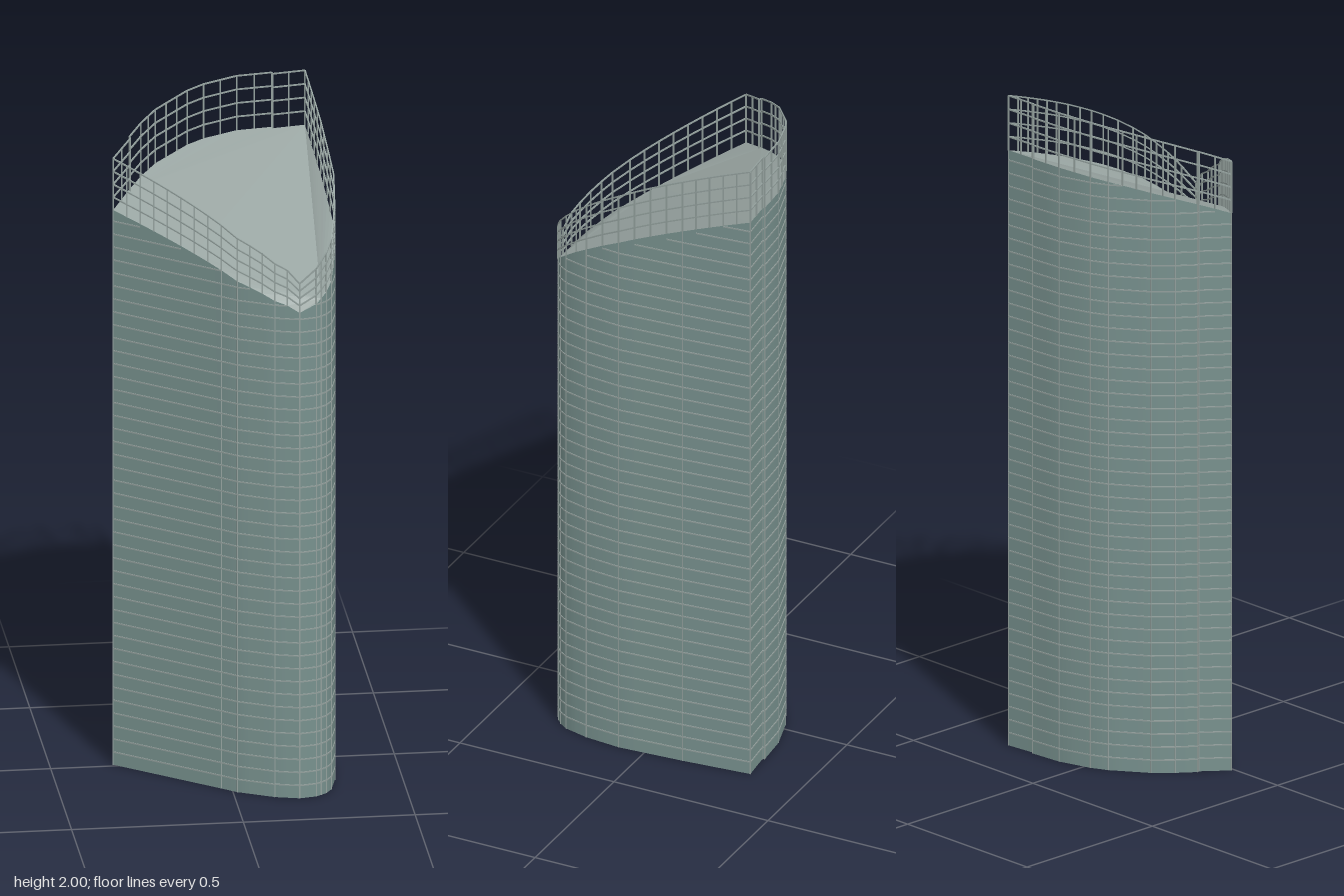
import * as THREE from 'three';
import { mergeGeometries, toCreasedNormals } from 'three/addons/utils/BufferGeometryUtils.js';

// Floor plan corners [x, z], clockwise seen from above
const PLAN = [
  [-0.317, -0.01], [-0.258, -0.083], [-0.26, -0.09], [-0.22, -0.142], [-0.172, -0.193],
  [-0.07, -0.266], [-0.02, -0.29], [0.08, -0.319], [0.183, -0.327], [0.185, -0.321],
  [0.28, -0.33], [0.3, -0.12], [0.314, 0.08], [0.304, 0.19], [0.285, 0.265],
  [0.267, 0.293], [0.25, 0.307], [0.235, 0.317], [0.185, 0.327], [0.115, 0.308],
  [0.012, 0.255], [-0.03, 0.22],
];
const STEP = 0.045;

// Sloping heights of the roof edge and of the crown above it
const depth = (z) => Math.max(0, (0.327 - z) / 0.657);
const roofY = (z) => 1.5 + 0.33 * Math.pow(depth(z), 0.65);
const crownY = (z) => 1.59 + 0.408 * Math.pow(depth(z), 0.55);

// Plan with long edges split so the sloping top follows its curve
function splitPlan() {
  const ring = [];
  PLAN.forEach(([x, z], i) => {
    const [x2, z2] = PLAN[(i + 1) % PLAN.length];
    const n = Math.max(1, Math.round(Math.hypot(x2 - x, z2 - z) / STEP));
    for (let k = 0; k < n; k++) ring.push([x + (x2 - x) * k / n, z + (z2 - z) * k / n]);
  });
  return ring;
}

function fromTriangles(points) {
  const geometry = new THREE.BufferGeometry();
  geometry.setAttribute('position', new THREE.Float32BufferAttribute(points.flat(), 3));
  geometry.computeVertexNormals();
  return geometry;
}

// Thin square bar between two points
function bar(a, b, size) {
  const from = new THREE.Vector3(...a), to = new THREE.Vector3(...b);
  const dir = to.clone().sub(from);
  const up = Math.abs(dir.y) > 0.9 * dir.length() ? new THREE.Vector3(1, 0, 0) : new THREE.Vector3(0, 1, 0);
  const geometry = new THREE.BoxGeometry(size, size, dir.length());
  const matrix = new THREE.Matrix4().lookAt(to, from, up);
  matrix.setPosition(from.add(to).multiplyScalar(0.5));
  return geometry.applyMatrix4(matrix);
}

export function createModel() {
  const group = new THREE.Group();
  const glass = new THREE.MeshStandardMaterial({ name: 'grey green glass', color: 0x78918e });
  const roofGrey = new THREE.MeshStandardMaterial({ name: 'roof grey', color: 0x98a4a1 });
  const metal = new THREE.MeshStandardMaterial({ name: 'pale metal', color: 0x93a09d });
  const add = (name, geometry, material) => {
    const mesh = new THREE.Mesh(geometry, material);
    mesh.name = name;
    group.add(mesh);
  };

  const ring = splitPlan();
  const count = ring.length;
  const next = (i) => (i + 1) % count;
  const top = (i) => [ring[i][0], roofY(ring[i][1]), ring[i][1]];
  const base = (i) => [ring[i][0], 0, ring[i][1]];

  // Outer walls and underside
  const walls = [], floor = [];
  for (let i = 0; i < count; i++) {
    const j = next(i);
    walls.push(base(i), top(i), top(j), base(i), top(j), base(j));
    floor.push([0.05, 0, 0], base(i), base(j));
  }
  add('towerWalls', toCreasedNormals(fromTriangles(walls), 0.4), glass);
  add('towerBase', fromTriangles(floor), glass);

  // Faceted roof: one fan per side around two large central triangles
  const nearest = (x, z) => {
    let best = 0;
    ring.forEach((p, i) => {
      if (Math.hypot(p[0] - x, p[1] - z) < Math.hypot(ring[best][0] - x, ring[best][1] - z)) best = i;
    });
    return best;
  };
  const backCorner = nearest(0.28, -0.33), frontCorner = nearest(0.25, 0.307);
  const sideMiddle = nearest(-0.11, 0.155), leftNotch = nearest(-0.26, -0.09);
  const roof = [];
  const facet = (a, b, c) => roof.push(top(a), top(c), top(b));
  const fan = (pivot, start, end) => {
    for (let i = start; i !== end; i = next(i)) {
      if (i !== pivot && next(i) !== pivot) facet(pivot, i, next(i));
    }
  };
  fan(leftNotch, leftNotch, backCorner);
  fan(frontCorner, backCorner, frontCorner);
  fan(frontCorner, frontCorner, sideMiddle);
  fan(leftNotch, sideMiddle, leftNotch);
  facet(backCorner, frontCorner, sideMiddle);
  facet(backCorner, sideMiddle, leftNotch);
  add('slopingRoof', fromTriangles(roof), roofGrey);

  // Floor lines around the walls
  const lines = [];
  for (let y = 0.04; y < 1.83; y += 0.04) {
    for (let i = 0; i < count; i++) {
      const [x, z] = ring[i], [x2, z2] = ring[next(i)];
      if (y < Math.min(roofY(z), roofY(z2))) lines.push(bar([x, y, z], [x2, y, z2], 0.004));
    }
  }
  add('floorLines', mergeGeometries(lines), metal);

  // Upright lines at the plan corners
  add('wallMullions', mergeGeometries(
    PLAN.map(([x, z]) => bar([x, 0, z], [x, roofY(z), z], 0.003))), metal);

  // Open lattice crown standing on the roof edge
  const lattice = [];
  for (let i = 0; i < count; i++) {
    const [x, z] = ring[i], [x2, z2] = ring[next(i)];
    lattice.push(bar([x, roofY(z), z], [x, crownY(z), z], 0.004));
    for (let k = 1; k <= 4; k++) {
      const level = (v) => THREE.MathUtils.lerp(roofY(v), crownY(v), k / 4);
      lattice.push(bar([x, level(z), z], [x2, level(z2), z2], 0.004));
    }
  }
  add('crownLattice', mergeGeometries(lattice), metal);
  return group;
}
